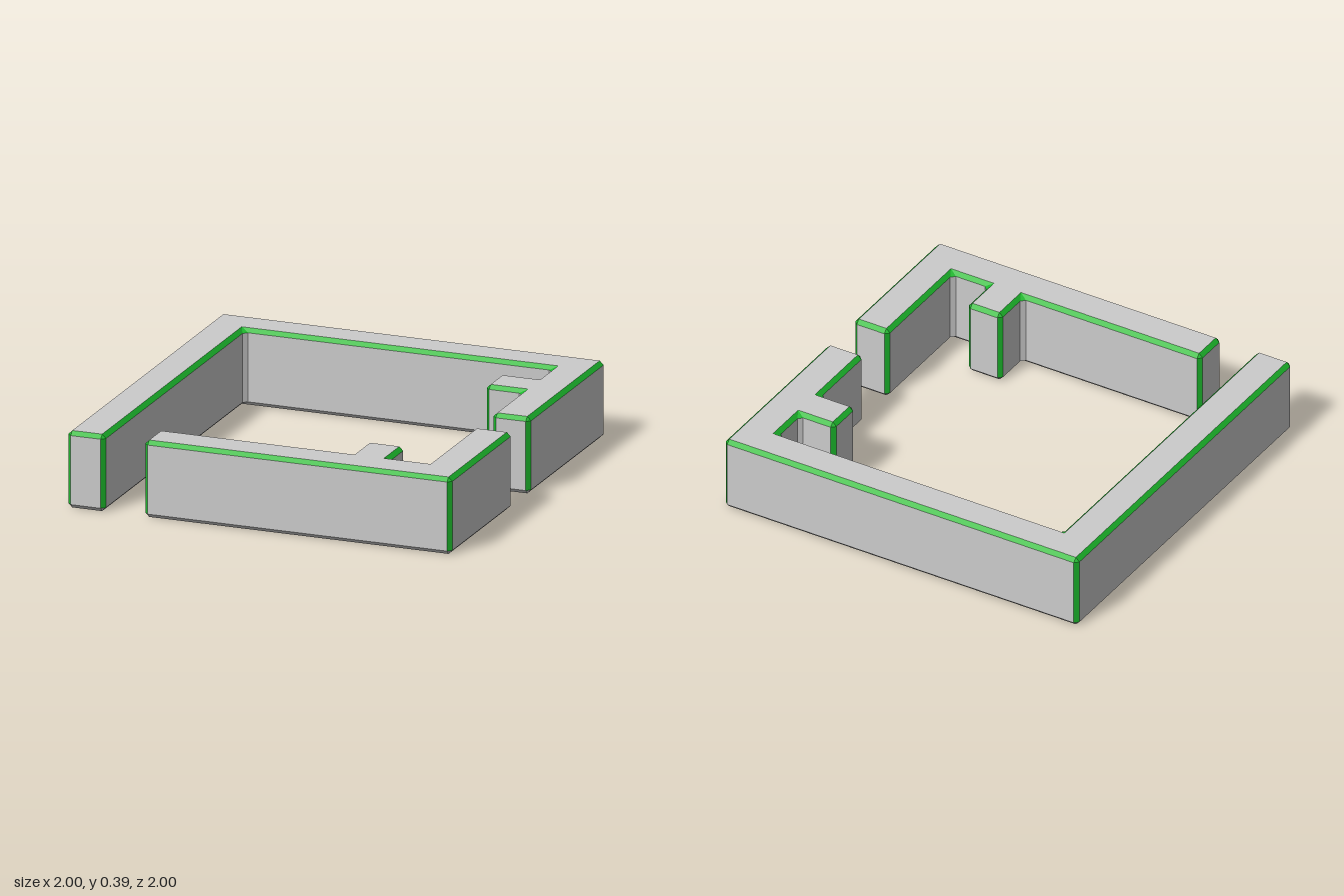
import * as THREE from 'three';

const HEIGHT = 0.39, BEVEL = 0.02;
const grey = new THREE.MeshStandardMaterial({ color: 0xcccccc });
const green = new THREE.MeshStandardMaterial({ color: 0x1cb82c });

// Wall outlines as [x, z], counter-clockwise seen from above.
const backWall = [[-1, 1], [-0.805, 1], [-0.805, -0.81], [0.8, -0.81], [0.8, -0.615], [0.605, -0.615],
  [0.605, -0.42], [0.8, -0.42], [0.8, -0.02], [0.995, -0.02], [0.995, -1], [-1, -1]];
const frontWall = [[-0.6, 1], [0.995, 1], [0.995, 0.205], [0.8, 0.205], [0.8, 0.805], [0.597, 0.805],
  [0.597, 0.605], [0.405, 0.605], [0.405, 0.805], [-0.6, 0.805]];

// Flat-shaded mesh from a list of polygons, each fanned into triangles.
function facetMesh(name, polygons, material) {
  const points = [];
  for (const p of polygons)
    for (let i = 1; i < p.length - 1; i++) points.push(p[0], p[i], p[i + 1]);
  const geometry = new THREE.BufferGeometry().setFromPoints(points);
  geometry.computeVertexNormals();
  const mesh = new THREE.Mesh(geometry, material);
  mesh.name = name;
  return mesh;
}

// Extruded wall with chamfers on every edge, green along the top and the outer corners.
function bevelledWall(name, outline) {
  const pts = outline.map(([x, z]) => new THREE.Vector2(x, -z));
  const n = pts.length;
  // Each corner: two points on the side faces and one inset point for the caps.
  const corners = pts.map((p, i) => {
    const into = p.clone().sub(pts[(i + n - 1) % n]).normalize();
    const out = pts[(i + 1) % n].clone().sub(p).normalize();
    const turn = Math.sign(into.cross(out));
    return {
      convex: turn > 0,
      a: p.clone().addScaledVector(into, -BEVEL),
      b: p.clone().addScaledVector(out, BEVEL),
      cap: p.clone().addScaledVector(out.clone().sub(into), turn * BEVEL),
    };
  });
  const at = (p, y) => new THREE.Vector3(p.x, y, -p.y);
  const low = BEVEL, high = HEIGHT - BEVEL;
  const sides = [], base = [], trim = [];
  corners.forEach((c, i) => {
    const d = corners[(i + 1) % n];
    // Straight side, with its top and bottom chamfers
    sides.push([at(c.b, low), at(d.a, low), at(d.a, high), at(c.b, high)]);
    trim.push([at(c.b, high), at(d.a, high), at(d.cap, HEIGHT), at(c.cap, HEIGHT)]);
    base.push([at(c.cap, 0), at(d.cap, 0), at(d.a, low), at(c.b, low)]);
    // Vertical corner chamfer, with its top and bottom triangles
    (c.convex ? trim : sides).push([at(c.a, low), at(c.b, low), at(c.b, high), at(c.a, high)]);
    trim.push([at(c.a, high), at(c.b, high), at(c.cap, HEIGHT)]);
    base.push([at(c.cap, 0), at(c.b, low), at(c.a, low)]);
  });

  const group = new THREE.Group();
  group.name = name;
  group.add(facetMesh('wallSides', sides, grey));
  group.add(facetMesh('bottomChamfers', base, grey));
  group.add(facetMesh('greenTrim', trim, green));

  // Flat top and underside
  const shape = new THREE.Shape(corners.map((c) => c.cap));
  const top = new THREE.Mesh(new THREE.ShapeGeometry(shape).rotateX(-Math.PI / 2).translate(0, HEIGHT, 0), grey);
  top.name = 'wallTop';
  const mirrored = new THREE.Shape(corners.map((c) => new THREE.Vector2(c.cap.x, -c.cap.y)));
  const bottom = new THREE.Mesh(new THREE.ShapeGeometry(mirrored).rotateX(Math.PI / 2), grey);
  bottom.name = 'wallUnderside';
  group.add(top, bottom);
  return group;
}

export function createModel() {
  const model = new THREE.Group();
  model.name = 'roomWalls';
  model.add(bevelledWall('backWalls', backWall), bevelledWall('frontWalls', frontWall));
  return model;
}
